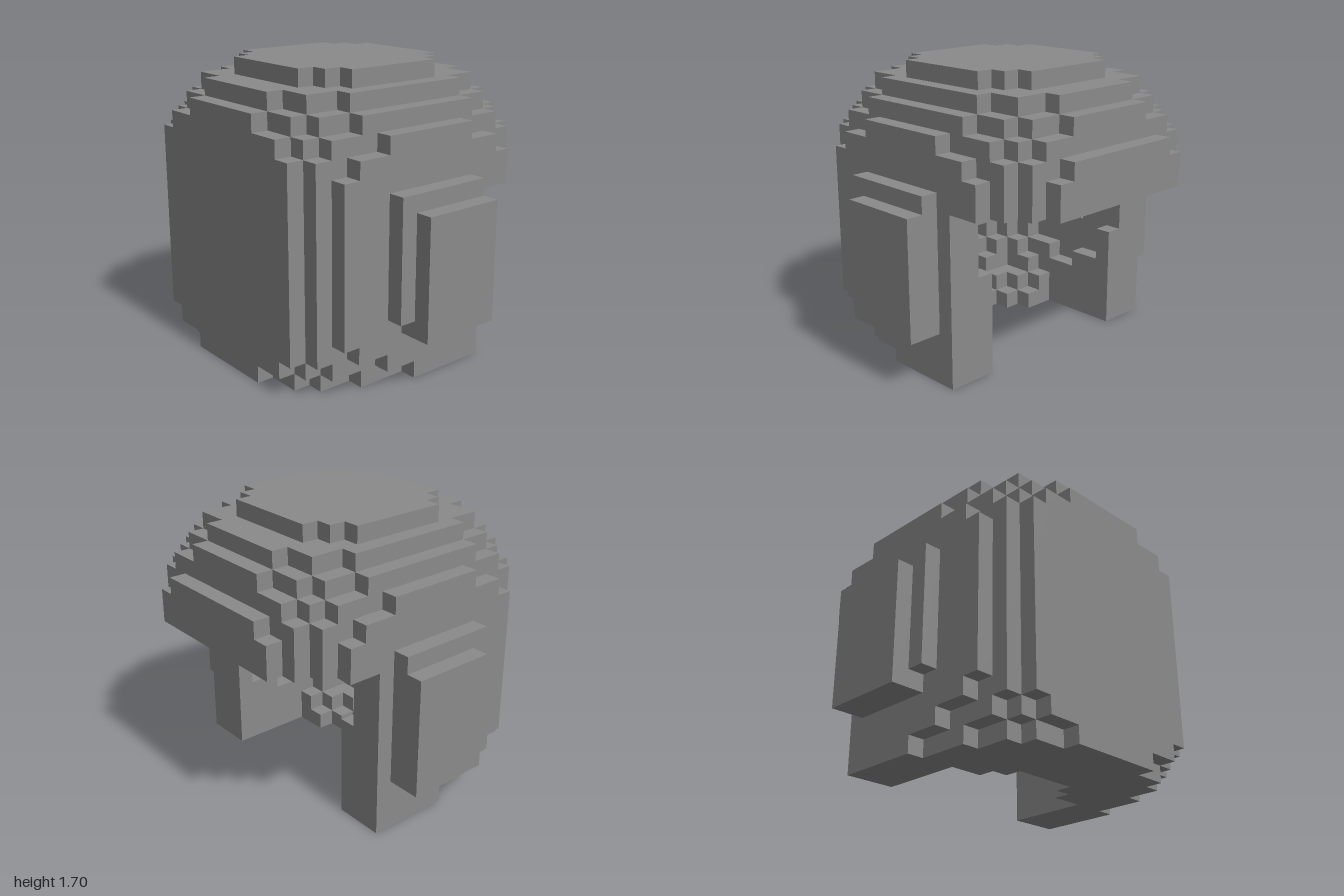
import * as THREE from 'three';

const U = 0.1;          // block size
const ZC = 0.05;        // z of the dome's centre
const MID = 7;          // block layer through the dome's centre

// Half widths (in blocks) of each layer, for block rows going outward from the centre
const WALL = [8, 8, 8, 8, 8, 8, 7, 6];
const STEP1 = [8, 8, 8, 8, 8, 7, 7, 6];
const STEP2 = [8, 8, 8, 7, 7, 7, 6, 5];
const BASE = [8, 7, 7, 7, 6, 6, 5, 3];
const CROWN = [
  [7, 7, 7, 7, 6, 6, 5, 3],
  [6, 6, 6, 6, 5, 5, 3, 0],
  [5, 5, 5, 4, 3, 0, 0, 0],
];
const LAYERS = [BASE, STEP2, STEP1, ...Array(9).fill(WALL), STEP1, STEP2, ...CROWN];

// Is the block at column i, layer j, row k part of the helmet shell?
function isSolid(i, j, k) {
  if (j < 0 || j > 16) return false;
  const half = i < 0 ? -i : i + 1;       // 1-based distance from the centre plane
  const row = k < 0 ? -k - 1 : k;
  // brow over the face opening
  if (k === -9) return (j >= 10 && j <= 11 && half <= 5) || (j === 12 && half <= 4);
  if (row > 7) return false;
  // only the rear half tapers in at the base
  const layer = j < 3 && k < 0 ? WALL : LAYERS[j];
  if (half > layer[row]) return false;
  // face opening below the brow, and the neck cut between the cheeks
  if (j < 10 && k < -4) return false;
  if (j < 10 && k < 1 && half <= 5) return false;
  // hollow for the head
  const x = (half - 0.5) * U, w = (row + 0.5) * U, y = (j - MID) * U;
  return x * x + w * w + 0.72 * y * y > 0.44;
}

// Surface of all the blocks, keeping only exposed faces
function blockGeometry(solid) {
  const pos = [], nor = [], idx = [];
  const ring = [[0, 0], [1, 0], [1, 1], [0, 1]];
  for (let i = -8; i < 8; i++) for (let j = 0; j < 17; j++) for (let k = -9; k < 8; k++) {
    if (!solid(i, j, k)) continue;
    for (let a = 0; a < 3; a++) for (const s of [1, -1]) {
      const n = [0, 0, 0];
      n[a] = s;
      if (solid(i + n[0], j + n[1], k + n[2])) continue;
      const b = pos.length / 3;
      for (const [u, v] of ring) {
        const p = [i, j, k];
        if (s > 0) p[a] += 1;
        p[(a + 1) % 3] += u;
        p[(a + 2) % 3] += v;
        pos.push(p[0] * U, p[1] * U, p[2] * U + ZC);
        nor.push(...n);
      }
      if (s > 0) idx.push(b, b + 1, b + 2, b, b + 2, b + 3);
      else idx.push(b, b + 2, b + 1, b, b + 3, b + 2);
    }
  }
  const g = new THREE.BufferGeometry();
  g.setAttribute('position', new THREE.Float32BufferAttribute(pos, 3));
  g.setAttribute('normal', new THREE.Float32BufferAttribute(nor, 3));
  g.setIndex(idx);
  return g;
}

export function createModel() {
  const model = new THREE.Group();
  model.name = 'helmet';
  const grey = new THREE.MeshStandardMaterial({ color: 0x8a8a8a });
  grey.name = 'grey';

  const shell = new THREE.Mesh(blockGeometry(isSolid), grey);
  shell.name = 'helmetShell';
  model.add(shell);

  // Ear guards: a thin backing plate and a thicker pad on each side
  const addBox = (name, parent, x0, x1, y0, y1, z0, z1, side) => {
    const mesh = new THREE.Mesh(new THREE.BoxGeometry(x1 - x0, y1 - y0, z1 - z0), grey);
    mesh.position.set(side * (x0 + x1) / 2, (y0 + y1) / 2, (z0 + z1) / 2);
    mesh.name = name;
    parent.add(mesh);
  };
  for (const side of [1, -1]) {
    const ear = new THREE.Group();
    ear.name = side > 0 ? 'leftEarGuard' : 'rightEarGuard';
    addBox('earPlate', ear, 0.8, 0.9, 0.4, 1.1, -0.25, 0.35, side);
    addBox('earPad', ear, 0.8, 1.0, 0.3, 1.0, -0.25, 0.25, side);
    model.add(ear);
  }
  return model;
}
